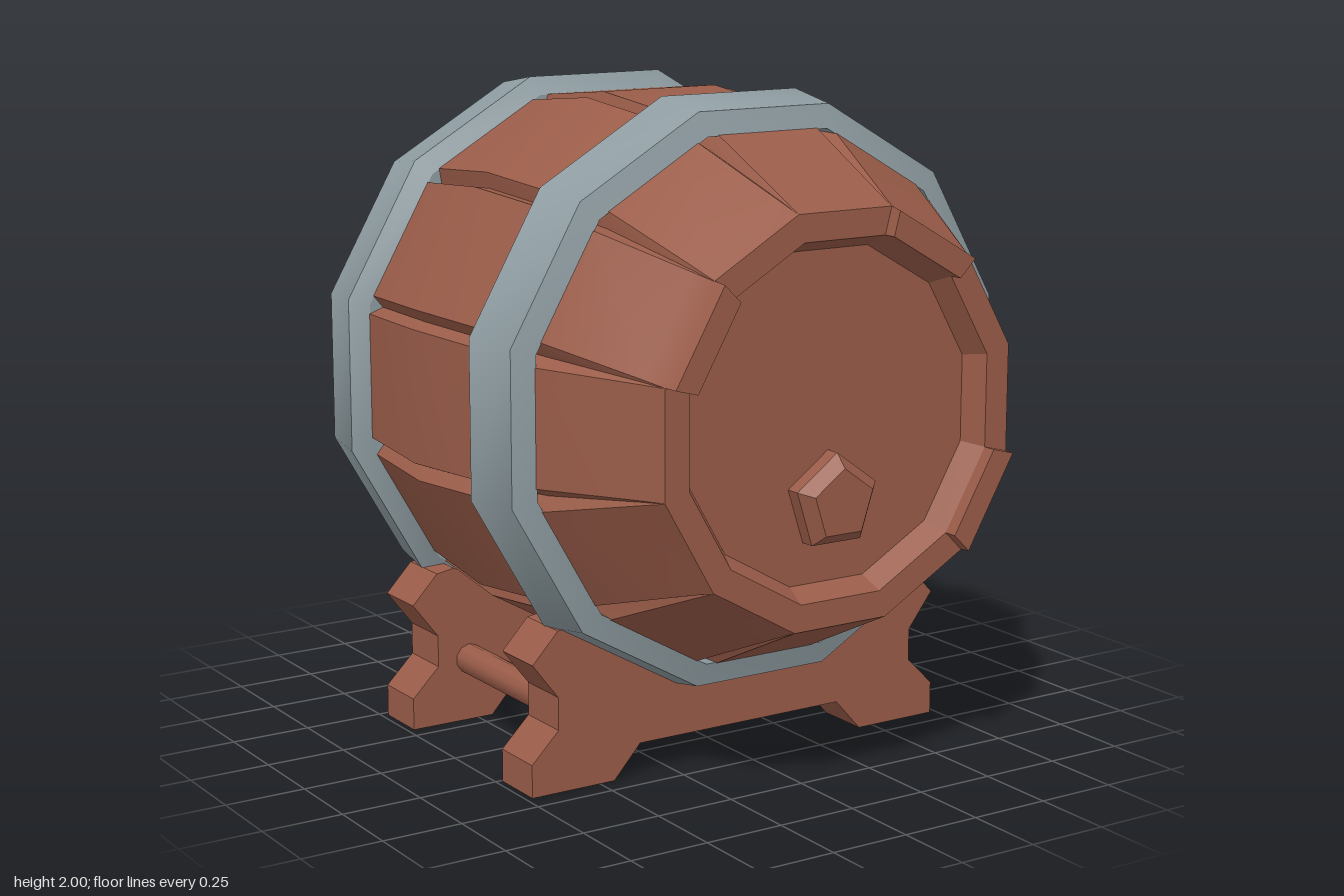
import * as THREE from 'three';
import { toCreasedNormals } from 'three/addons/utils/BufferGeometryUtils.js';

const SIDES = 12;
const AXIS_Y = 1.125; // height of the barrel axis
const T = Math.tan(Math.PI / SIDES);
const C = Math.cos(Math.PI / SIDES);

// Stave sections, front to back: z, outer distance, half width, groove depth, inner distance
const SECTIONS = [
  [0.93, 0.595, 0.158, 0, 0.515],
  [0.86, 0.629, 0.161, 0.008, 0.48],
  [0.55, 0.78, 0.172, 0.045, 0.48],
  [0.34, 0.82, 0.191, 0.045, 0.48],
  [-0.02, 0.857, 0.2, 0.045, 0.48],
  [-0.38, 0.82, 0.191, 0.045, 0.48],
  [-0.6, 0.78, 0.172, 0.045, 0.48],
  [-0.9, 0.63, 0.161, 0.008, 0.48],
  [-0.97, 0.595, 0.158, 0, 0.515],
];

// One stave pointing up (+y), lofted through six-point sections
function staveGeometry(long) {
  const rows = long ? [[0.972, 0.587, 0.156, 0, 0.515], ...SECTIONS] : SECTIONS;
  const pos = [];
  for (const [z, a, w, d, i] of rows) {
    const f = a - d;
    pos.push(-f * T, f, z, -w, a, z, w, a, z, f * T, f, z, i * T, i, z, -i * T, i, z);
  }
  const index = [];
  for (let j = 0; j < rows.length - 1; j++) {
    for (let k = 0; k < 6; k++) {
      const n = (k + 1) % 6;
      const a = j * 6 + k, b = j * 6 + n;
      index.push(a, b, b + 6, a, b + 6, a + 6);
    }
  }
  const last = (rows.length - 1) * 6;
  for (let k = 1; k < 5; k++) {
    index.push(0, k + 1, k, last, last + k, last + k + 1);
  }
  const geo = new THREE.BufferGeometry();
  geo.setAttribute('position', new THREE.Float32BufferAttribute(pos, 3));
  geo.setIndex(index);
  return toCreasedNormals(geo, 0.3);
}

// Twelve-sided band around the z axis from [distance, z] points
function hoopGeometry(profile) {
  const pts = profile.map(([a, z]) => new THREE.Vector2(a / C, z));
  const geo = new THREE.LatheGeometry(pts, SIDES, Math.PI / SIDES);
  geo.rotateX(Math.PI / 2);
  return toCreasedNormals(geo, 0.55);
}

export function createModel() {
  const wood = new THREE.MeshStandardMaterial({ color: 0x9a5c49 });
  wood.name = 'wood';
  const iron = new THREE.MeshStandardMaterial({ color: 0x8f9da2 });
  iron.name = 'iron';

  const model = new THREE.Group();
  model.name = 'barrelOnCradle';
  const add = (parent, geo, mat, name) => {
    const mesh = new THREE.Mesh(geo, mat);
    mesh.name = name;
    parent.add(mesh);
    return mesh;
  };

  const barrel = new THREE.Group();
  barrel.name = 'barrel';
  barrel.position.y = AXIS_Y;
  model.add(barrel);

  // Staves: three of them stand proud at the front
  const shortStave = staveGeometry(false);
  const longStave = staveGeometry(true);
  const proud = [60, 150, 330];
  for (let deg = 0; deg < 360; deg += 30) {
    const geo = proud.includes(deg) ? longStave : shortStave;
    add(barrel, geo, wood, 'stave').rotation.z = THREE.MathUtils.degToRad(deg - 90);
  }

  // Recessed heads closing both ends
  for (const [z, turn, name] of [[0.86, 0, 'frontHead'], [-0.9, Math.PI, 'backHead']]) {
    const head = add(barrel, new THREE.CircleGeometry(0.485 / C, SIDES, Math.PI / SIDES), wood, name);
    head.position.z = z;
    head.rotation.y = turn;
  }

  // Iron hoops, the back one mirrored about the barrel's middle
  const profile = [
    [0.76, 0.32], [0.82, 0.32], [0.875, 0.355], [0.845, 0.535], [0.775, 0.555], [0.76, 0.32],
  ];
  const mirrored = profile.map(([a, z]) => [a, -z - 0.04]).reverse();
  add(barrel, hoopGeometry(profile), iron, 'frontHoop');
  add(barrel, hoopGeometry(mirrored), iron, 'backHoop');

  // Five-sided bung with a chamfered front
  const bung = new THREE.Group();
  bung.name = 'bung';
  bung.position.set(0, -0.24, 0);
  barrel.add(bung);
  for (const [front, z0, z1, name] of [[0.144, 0.85, 0.905, 'bungBody'], [0.105, 0.905, 0.942, 'bungFace']]) {
    const geo = new THREE.CylinderGeometry(front, 0.144, z1 - z0, 5);
    geo.rotateX(Math.PI / 2).rotateZ(Math.PI);
    add(bung, toCreasedNormals(geo, 0.3), wood, name).position.z = (z0 + z1) / 2;
  }

  // Cradle plates with a saddle cut to the barrel
  const half = [
    [0.36, 0.1], [0.45, 0], [0.73, 0], [0.73, 0.1], [0.64, 0.19], [0.64, 0.29],
    [0.725, 0.4], [0.64, 0.49], [0.58, 0.5], [0.222, 0.295],
  ];
  const outline = [...half, ...half.map(([x, y]) => [-x, y]).reverse()];
  const shape = new THREE.Shape(outline.map(([x, y]) => new THREE.Vector2(x, y)));
  const plate = new THREE.ExtrudeGeometry(shape, { depth: 0.175, bevelEnabled: false });
  add(model, plate, wood, 'frontCradle').position.z = 0.257;
  add(model, plate, wood, 'backCradle').position.z = -0.477;

  // Round stretchers joining the plates
  const rod = new THREE.CylinderGeometry(0.047, 0.047, 0.6, 10);
  rod.rotateX(Math.PI / 2);
  for (const x of [-0.53, 0.53]) {
    add(model, rod, wood, x > 0 ? 'leftStretcher' : 'rightStretcher').position.set(x, 0.2, -0.02);
  }

  return model;
}
